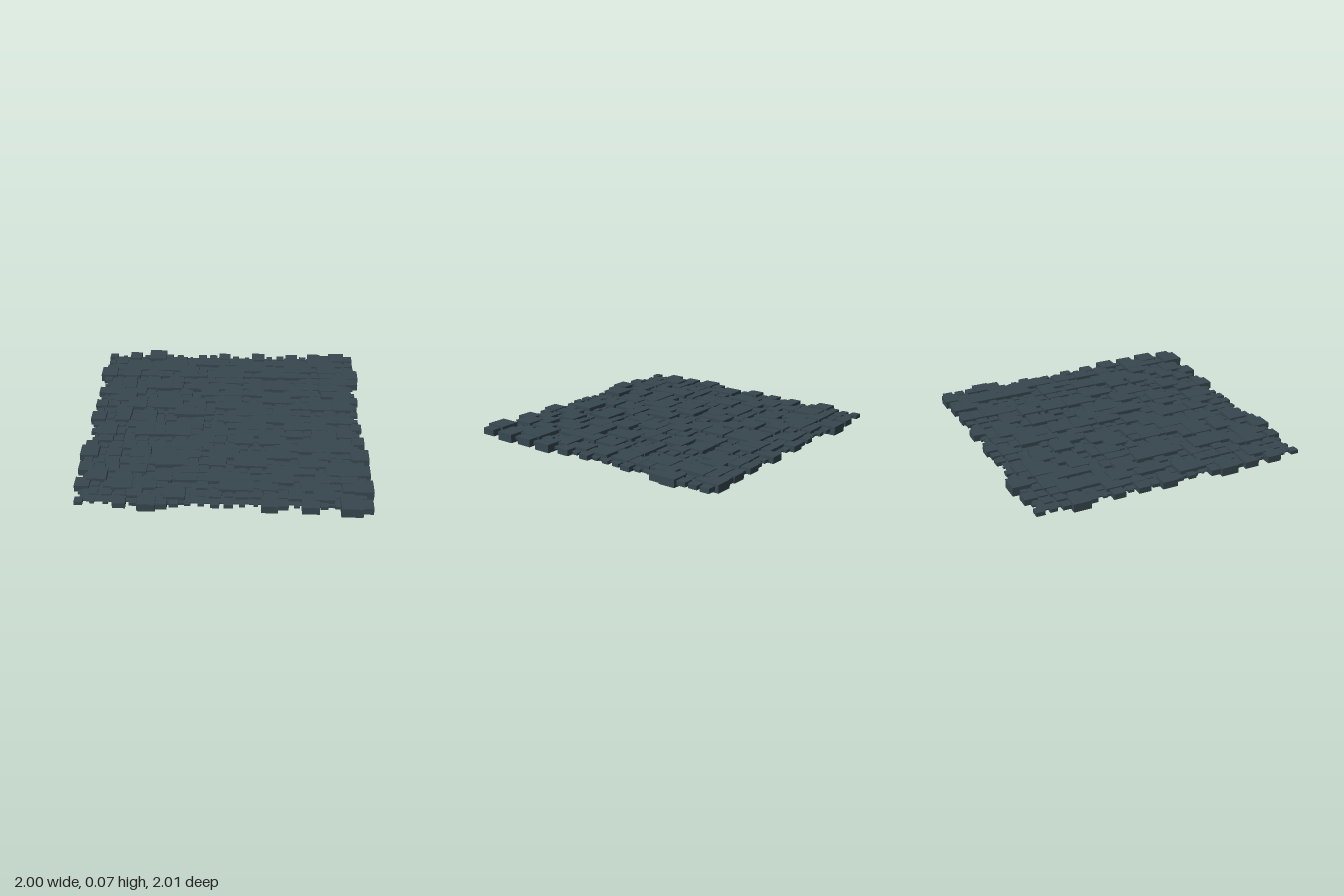
import * as THREE from 'three';
import { mergeGeometries } from 'three/addons/utils/BufferGeometryUtils.js';

const N = 22;          // blocks per side
const STEP = 0.089;    // grid spacing
const MID = 0.034;     // height of the mid plane
const RATIO = 0.465;   // block height relative to its width

// block widths along the four borders, in hundredths of a unit
const BACK = [6, 3, 9, 4, 13.3, 6, 5, 2, 6.3, 6, 9, 4.5, 3, 10, 4.5, 5.5, 9, 5, 10, 8, 12, 7];
const FRONT = [5.5, 3, 3.5, 8.5, 5, 12, 9, 6, 4, 4, 6, 6, 4, 3, 11, 7, 4, 11.5, 5, 4, 14.3, 10];
const RIGHT = [6, 5, 6, 12, 6, 3, 8.5, 4, 8.5, 5, 10.5, 5, 5.5, 2, 8.5, 12.5, 6, 10, 2, 10, 3, 5.5];
const LEFT = [7, 6.5, 7, 12, 10.5, 3, 4, 7.5, 5, 5, 4, 7.5, 4, 9, 3, 12.5, 5, 11.5, 5, 13, 3, 10];

// small seeded generator
function makeRandom(seed) {
  return () => {
    seed = (seed * 16807) % 2147483647;
    return seed / 2147483647;
  };
}

export function createModel() {
  const group = new THREE.Group();
  group.name = 'blockPanel';
  const material = new THREE.MeshStandardMaterial({ color: 0x37474f });
  const random = makeRandom(4711);

  // thin sheet joining all the blocks
  const sheet = new THREE.Mesh(new THREE.BoxGeometry(1.865, 0.008, 1.865), material);
  sheet.name = 'baseSheet';
  sheet.position.set(-0.003, MID, -0.003);
  group.add(sheet);

  // one row of square blocks of varied size per grid line, centred on the sheet
  for (let j = 0; j < N; j++) {
    const blocks = [];
    for (let i = 0; i < N; i++) {
      let size = 0.025 + 0.12 * random();
      if (j === 0) size = BACK[i] / 100;
      else if (j === N - 1) size = FRONT[i] / 100;
      else if (i === 0) size = RIGHT[j] / 100;
      else if (i === N - 1) size = LEFT[j] / 100;
      const block = new THREE.BoxGeometry(size, size * RATIO, size);
      block.translate((i - (N - 1) / 2) * STEP - 0.003, MID, (j - (N - 1) / 2) * STEP - 0.003);
      blocks.push(block);
    }
    const row = new THREE.Mesh(mergeGeometries(blocks), material);
    row.name = `blockRow${j + 1}`;
    group.add(row);
  }
  return group;
}
